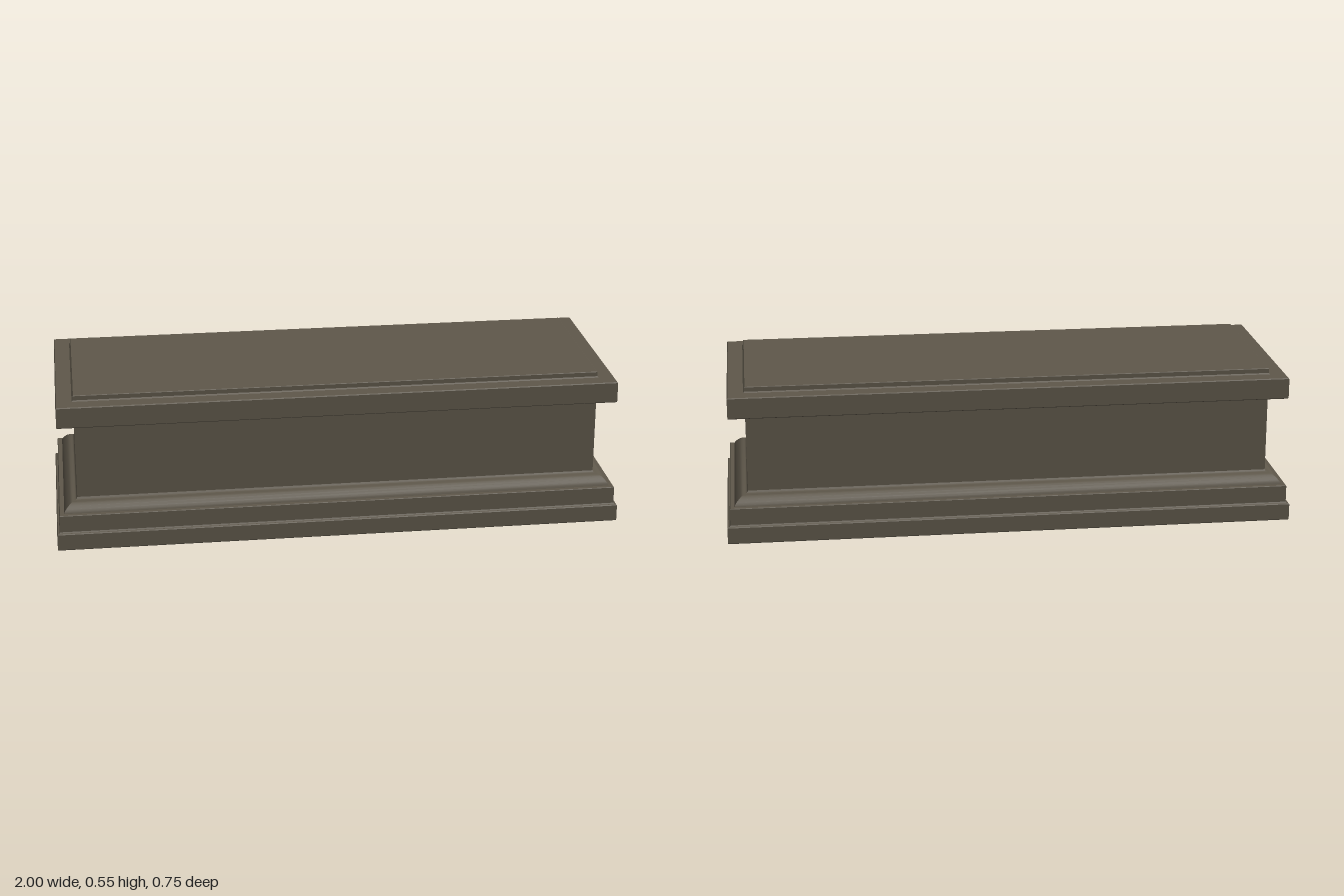
import * as THREE from 'three';
import { toCreasedNormals } from 'three/addons/utils/BufferGeometryUtils.js';

// Half length minus half depth: every profile is mitred round the same rectangle
const EXTRA = 0.624;

// Sweeps a profile of [half depth, height] points round a rectangle and caps both ends
function mitred(profile) {
  const positions = [];
  const index = [];
  for (const [d, y] of profile) {
    const w = d + EXTRA;
    positions.push(w, y, d, w, y, -d, -w, y, -d, -w, y, d);
  }
  for (let i = 0; i < profile.length - 1; i++) {
    for (let k = 0; k < 4; k++) {
      const a = i * 4 + k;
      const b = i * 4 + (k + 1) % 4;
      index.push(a, b, b + 4, a, b + 4, a + 4);
    }
  }
  const t = (profile.length - 1) * 4;
  index.push(t, t + 1, t + 2, t, t + 2, t + 3, 0, 2, 1, 0, 3, 2);
  const geometry = new THREE.BufferGeometry();
  geometry.setAttribute('position', new THREE.Float32BufferAttribute(positions, 3));
  geometry.setIndex(index);
  return toCreasedNormals(geometry, 0.6);
}

// Slab outline with softened edges
function slab(d, y0, y1, bevel = 0.003) {
  return [[d - bevel, y0], [d, y0 + bevel], [d, y1 - bevel], [d - bevel, y1]];
}

export function createModel() {
  const group = new THREE.Group();
  const stone = new THREE.MeshStandardMaterial({ color: 0x5f584b });
  stone.name = 'brown stone';

  const parts = {
    // Stepped foot
    plinth: slab(0.376, 0, 0.062),
    baseCourse: [[0.368, 0.062], [0.365, 0.066], [0.365, 0.125], [0.363, 0.127]],
    // Rounded moulding that sweeps up into the body
    baseMoulding: [
      [0.348, 0.127], [0.346, 0.134], [0.341, 0.141], [0.333, 0.149], [0.326, 0.155],
      [0.319, 0.159], [0.312, 0.161], [0.306, 0.162], [0.302, 0.165], [0.3, 0.169],
    ],
    body: [[0.3, 0.16], [0.3, 0.446], [0.304, 0.451]],
    // Overhanging lid and its raised panel
    lid: slab(0.36, 0.451, 0.527),
    lidPanel: [[0.304, 0.527], [0.3, 0.531], [0.3, 0.546], [0.298, 0.548]],
  };
  for (const [name, profile] of Object.entries(parts)) {
    const mesh = new THREE.Mesh(mitred(profile), stone);
    mesh.name = name;
    group.add(mesh);
  }
  return group;
}
